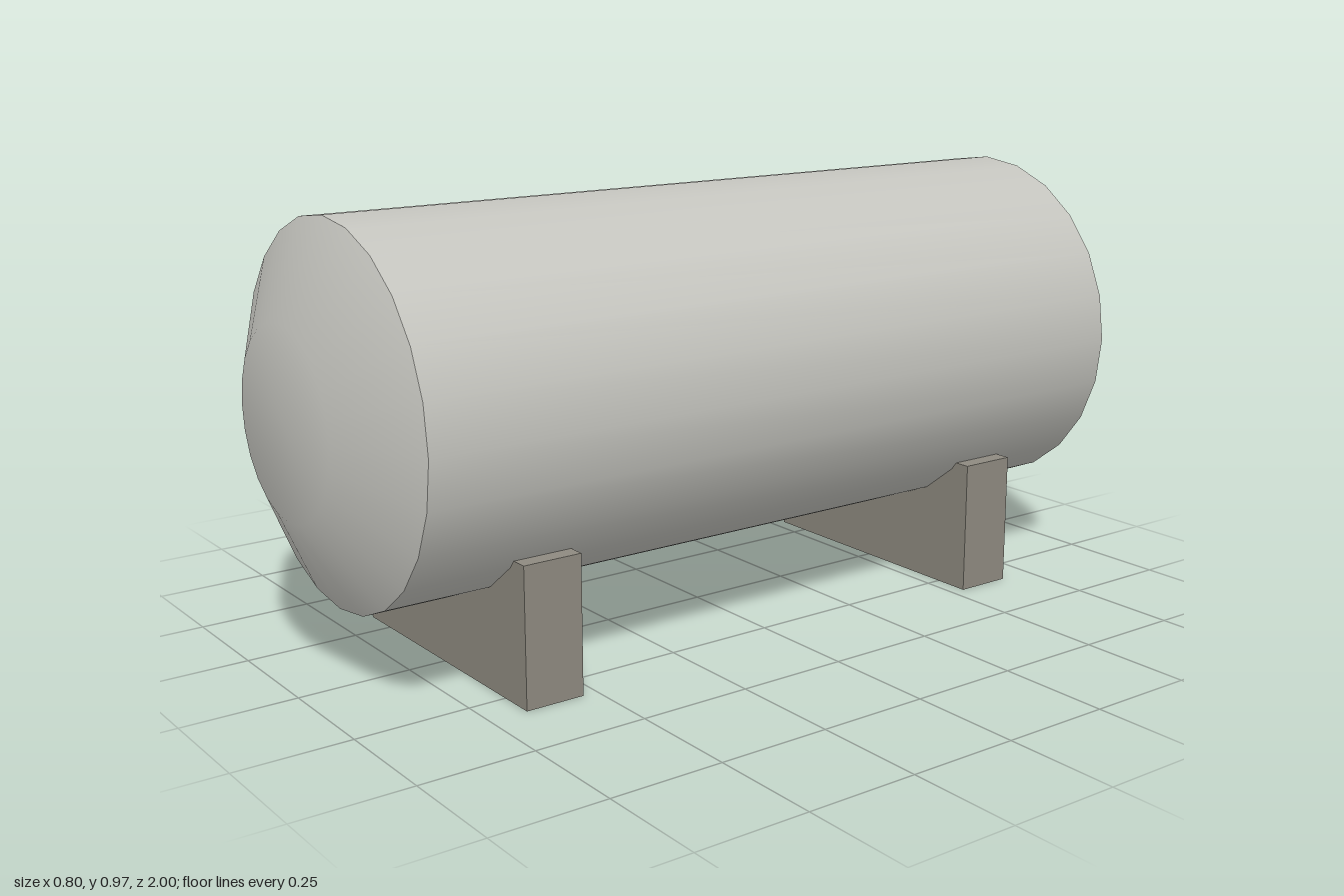
import * as THREE from 'three';

export function createModel() {
  const group = new THREE.Group();
  const steel = new THREE.MeshStandardMaterial({ name: 'lightGreySteel', color: 0xc4c4be });
  const concrete = new THREE.MeshStandardMaterial({ name: 'warmGreyConcrete', color: 0x8e8a80 });

  const SIDES = 24, R = 0.4, AXIS_Y = 0.568, BODY = 0.9, END = 1;

  function add(name, geometry, material, x, y, z) {
    const mesh = new THREE.Mesh(geometry, material);
    mesh.name = name;
    mesh.position.set(x, y, z);
    group.add(mesh);
    return mesh;
  }

  // Horizontal tank shell, open because the domed ends close it
  const shell = new THREE.CylinderGeometry(R, R, BODY * 2, SIDES, 1, true).rotateX(Math.PI / 2);
  add('tankShell', shell, steel, 0, AXIS_Y, 0);

  // Shallow dished end: a smooth-shaded cone ring and a flat centre
  const profile = [[R, BODY], [R / 2, END], [0, END]].map(([r, h]) => new THREE.Vector2(r, h));
  const cap = new THREE.LatheGeometry(profile, SIDES).rotateX(Math.PI / 2);
  add('frontDishedEnd', cap, steel, 0, AXIS_Y, 0);
  add('backDishedEnd', cap, steel, 0, AXIS_Y, 0).rotation.y = Math.PI;

  // Two block saddles carrying the tank
  const saddle = new THREE.BoxGeometry(0.666, 0.302, 0.133);
  add('frontSaddle', saddle, concrete, 0, 0.151, 0.6);
  add('backSaddle', saddle, concrete, 0, 0.151, -0.6);

  return group;
}
